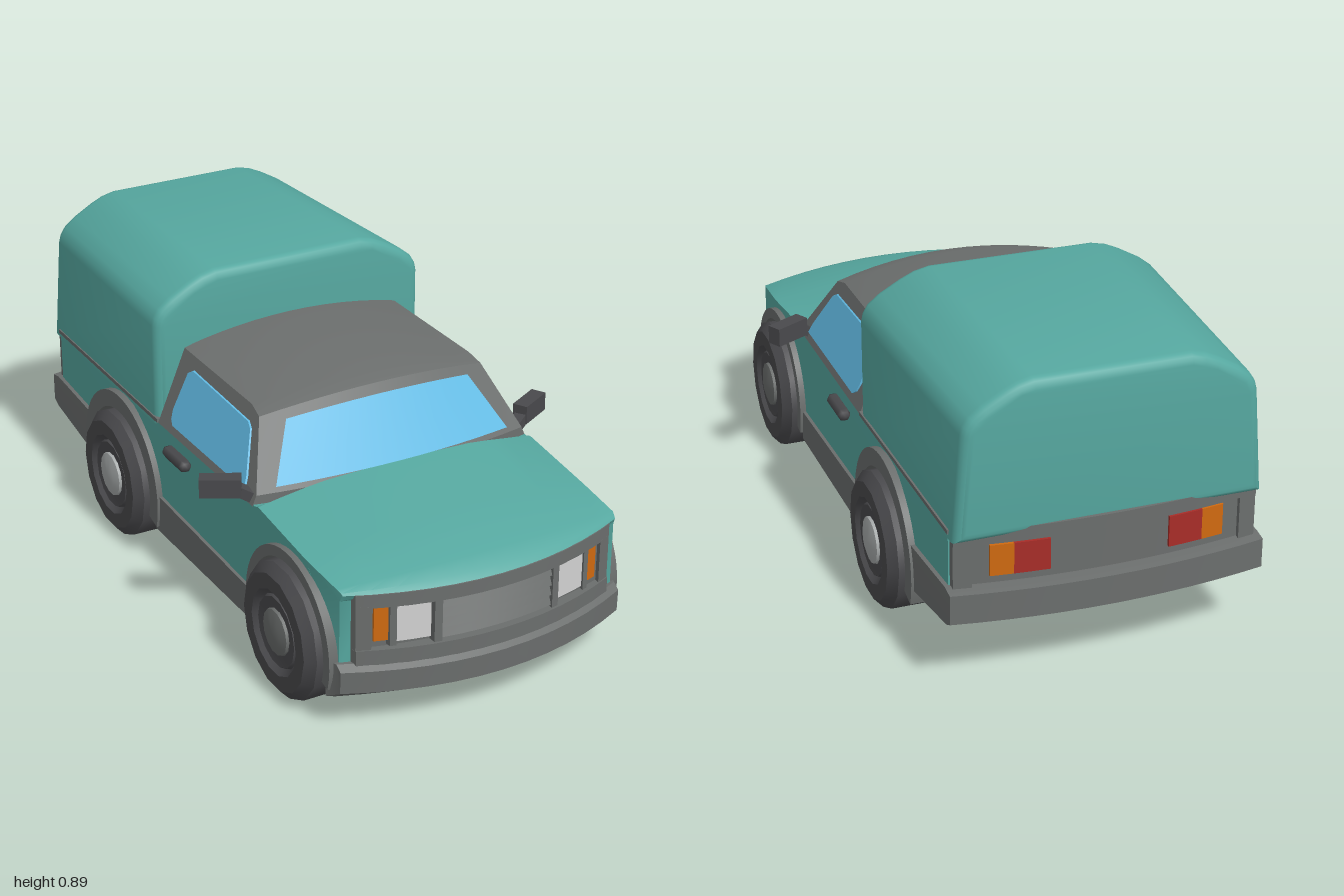
import * as THREE from 'three';
import { toCreasedNormals } from 'three/addons/utils/BufferGeometryUtils.js';

const mat = (name, color) => {
  const m = new THREE.MeshStandardMaterial({ color });
  m.name = name;
  return m;
};
const clamp01 = (v) => Math.min(1, Math.max(0, v));

// Bends straight parts to the rounded nose, crowned hood and soft tail
function bodyWarp(p) {
  const s2 = (p.x / 0.44) ** 2;
  const { y, z } = p;
  if (z > 0.42) p.y -= 0.04 * s2 * clamp01((y - 0.42) / 0.06);
  const nose = clamp01((z - 0.83) / 0.14);
  const tail = clamp01((-z - 0.8) / 0.15);
  p.z += -0.1 * s2 * nose + 0.04 * s2 * tail;
  p.x *= 1 - 0.03 * nose - 0.02 * tail;
}

// Leans the cabin sides in, crowns the roof and curves the windscreen
function cabinWarp(p) {
  const s2 = (p.x / 0.44) ** 2;
  const k = (p.y - 0.47) / 0.25;
  p.x *= 1 - 0.2 * k;
  p.y -= 0.04 * s2 * k;
  p.z -= 0.05 * s2 * (p.z / 0.45);
}

function warpGeometry(geo, warp) {
  const a = geo.attributes.position;
  const p = new THREE.Vector3();
  for (let i = 0; i < a.count; i++) {
    p.fromBufferAttribute(a, i);
    warp(p);
    a.setXYZ(i, p.x, p.y, p.z);
  }
  return geo;
}

// Extrudes a side outline (z, y) from x0 to x1
function acrossX(outline, x0, x1, warp, steps = 1) {
  const shape = Array.isArray(outline)
    ? new THREE.Shape(outline.map(([z, y]) => new THREE.Vector2(z, y))) : outline;
  const geo = new THREE.ExtrudeGeometry(shape, { depth: x1 - x0, steps, bevelEnabled: false, curveSegments: 14 });
  geo.rotateY(-Math.PI / 2).translate(x1, 0, 0);
  if (warp) warpGeometry(geo, warp);
  return toCreasedNormals(geo, 0.45);
}

export function createModel() {
  const root = new THREE.Group();
  root.name = 'pickupWithCanopy';
  const teal = mat('teal paint', 0x56a8a0);
  const grey = mat('grey trim', 0x6b6e6d);
  const dark = mat('dark rubber', 0x4a4a4d);
  const glass = mat('blue glass', 0x62bbe4);
  const hubGrey = mat('light hub', 0xa6aaaa);
  const white = mat('headlight white', 0xd2d2d2);
  const orange = mat('indicator orange', 0xd06a10);
  const red = mat('tail red', 0xa82d28);

  const add = (name, geo, material, parent = root) => {
    const m = new THREE.Mesh(geo, material);
    m.name = name;
    parent.add(m);
    return m;
  };
  // Block that follows the curved nose or tail
  const block = (name, x0, x1, y0, y1, z0, z1, material) => add(name,
    acrossX([[z0, y0], [z1, y0], [z1, y1], [z0, y1]], x0, x1, bodyWarp, Math.ceil((x1 - x0) / 0.07)), material);
  const blockPair = (name, x0, x1, ...rest) => {
    block(name + 'Left', x0, x1, ...rest);
    block(name + 'Right', -x1, -x0, ...rest);
  };

  const axles = [{ name: 'front', z: 0.62, arch: 0.235 }, { name: 'rear', z: -0.43, arch: 0.255 }];

  // Painted lower body with wheel openings
  const body = new THREE.Shape();
  body.moveTo(0.93, 0.2);
  [[0.93, 0.4], [0.968, 0.42], [0.95, 0.437], [0.9, 0.456], [0.7, 0.486], [0.43, 0.517], [0.41, 0.47],
    [-0.95, 0.47], [-0.95, 0.2], [-0.64, 0.2]].forEach(([z, y]) => body.lineTo(z, y));
  body.absarc(-0.43, 0.2, 0.21, Math.PI, 0, true);
  body.lineTo(0.41, 0.2);
  body.absarc(0.62, 0.2, 0.21, Math.PI, 0, true);
  add('body', acrossX(body, -0.44, 0.44, bodyWarp, 12), teal);

  // Underbody, sills and bumpers
  add('underbody', acrossX([[0.92, 0.125], [0.84, 0.113], [-0.3, 0.113], [-0.64, 0.168], [-0.93, 0.205],
    [-0.93, 0.45], [0.92, 0.4]], -0.33, 0.33, bodyWarp, 10), grey);
  add('sills', acrossX([[0.395, 0.11], [0.395, 0.205], [-0.205, 0.228], [-0.205, 0.11]], -0.45, 0.45), grey);
  add('frontBumper', acrossX([[0.83, 0.105], [0.95, 0.115], [0.99, 0.135], [0.992, 0.2], [0.97, 0.215], [0.83, 0.215]],
    -0.455, 0.455, bodyWarp, 12), grey);
  add('rearBumper', acrossX([[-0.64, 0.165], [-0.97, 0.205], [-1, 0.22], [-1, 0.305], [-0.96, 0.312], [-0.64, 0.3]],
    -0.452, 0.452, bodyWarp, 12), grey);
  block('beltTrim', -0.444, 0.444, 0.464, 0.476, -0.955, -0.19, grey);

  // Grille, lamps and their surround
  block('grilleTop', -0.41, 0.41, 0.38, 0.42, 0.91, 0.972, grey);
  block('grilleBottom', -0.41, 0.41, 0.205, 0.255, 0.91, 0.976, grey);
  block('grilleBack', -0.4, 0.4, 0.25, 0.385, 0.91, 0.94, grey);
  blockPair('grilleEnd', 0.37, 0.41, 0.25, 0.385, 0.91, 0.972, grey);
  blockPair('grillePost', 0.178, 0.2, 0.25, 0.385, 0.92, 0.968, grey);
  blockPair('lampPost', 0.302, 0.32, 0.26, 0.385, 0.92, 0.966, grey);
  blockPair('headlight', 0.203, 0.302, 0.268, 0.372, 0.945, 0.954, white);
  blockPair('frontIndicator', 0.32, 0.358, 0.275, 0.375, 0.945, 0.954, orange);
  for (let i = 0; i < 4; i++) {
    const y = 0.262 + i * 0.03;
    add('grilleSlat', acrossX([[0.93, y], [0.962, y], [0.948, y + 0.026], [0.93, y + 0.026]],
      -0.18, 0.18, bodyWarp, 6), grey);
  }

  // Tailgate and tail lamps
  block('tailgate', -0.425, 0.425, 0.3, 0.465, -0.958, -0.94, grey);
  block('tailgateTop', -0.435, 0.435, 0.435, 0.475, -0.975, -0.94, grey);
  blockPair('tailgateEnd', 0.385, 0.435, 0.3, 0.44, -0.972, -0.94, grey);
  blockPair('tailLamp', 0.17, 0.27, 0.335, 0.425, -0.966, -0.958, red);
  blockPair('rearIndicator', 0.27, 0.335, 0.335, 0.425, -0.966, -0.958, orange);

  // Cabin with curved windscreen and side windows
  add('cabin', acrossX([[0.45, 0.465], [0.45, 0.5], [0.32, 0.705], [0.26, 0.722], [-0.21, 0.725], [-0.21, 0.465]],
    -0.44, 0.44, cabinWarp, 12), grey);
  const screen = new THREE.PlaneGeometry(2, 1, 12, 1);
  warpGeometry(screen, (p) => {
    const t = 0.07 + (p.y + 0.5) * 0.8;
    p.set(p.x * (0.39 - 0.045 * t), 0.5 + 0.205 * t, 0.45 - 0.13 * t);
    cabinWarp(p);
    p.y += 0.003;
    p.z += 0.006;
  });
  screen.computeVertexNormals();
  add('windscreen', screen, glass);
  const windowOutline = [[0.385, 0.495], [0.375, 0.53], [0.305, 0.66], [0.28, 0.675], [-0.11, 0.686],
    [-0.135, 0.67], [-0.145, 0.54], [-0.135, 0.51], [-0.115, 0.495]];
  add('sideWindowLeft', acrossX(windowOutline, 0.44, 0.446, cabinWarp), glass);
  add('sideWindowRight', acrossX(windowOutline, -0.446, -0.44, cabinWarp), glass);

  // Rounded canopy over the load bed
  const half = [[0.44, 0.45], [0.44, 0.76], [0.435, 0.785], [0.42, 0.81], [0.385, 0.838], [0.325, 0.872],
    [0.285, 0.89], [0.24, 0.9]];
  const ring = [...half, ...half.slice().reverse().map(([x, y]) => [-x, y])];
  const canopy = new THREE.ExtrudeGeometry(new THREE.Shape(ring.map(([x, y]) => new THREE.Vector2(x, y))), {
    depth: 0.715, steps: 1, bevelEnabled: true, bevelSize: 0.03, bevelOffset: -0.03, bevelThickness: 0.03, bevelSegments: 4 });
  canopy.translate(0, 0, -0.935);
  warpGeometry(canopy, (p) => {
    const back = clamp01((-p.z - 0.19) / 0.775);
    p.x *= 1 - back * (0.02 + 0.08 * clamp01((p.y - 0.47) / 0.43));
    p.y -= 0.012 * back * clamp01((p.y - 0.6) / 0.3);
  });
  add('canopy', toCreasedNormals(canopy, 0.7), teal);

  // Wheels and arches
  const lathe = (pts) => toCreasedNormals(
    new THREE.LatheGeometry(pts.map(([r, h]) => new THREE.Vector2(r, h)), 14), 0.5);
  const tyreGeo = lathe([[0, -0.08], [0.165, -0.08], [0.197, -0.055], [0.197, 0.055], [0.17, 0.08], [0.125, 0.08],
    [0.108, 0.062], [0, 0.062]]);
  const rimGeo = lathe([[0.108, 0.06], [0.102, 0.072], [0.075, 0.068], [0, 0.068]]);
  const hubGeo = lathe([[0.07, 0.062], [0.066, 0.076], [0.04, 0.084], [0, 0.086]]);
  for (const axle of axles) {
    const arch = new THREE.Shape();
    arch.absarc(axle.z, 0.2, axle.arch, -0.3, Math.PI + 0.3, false);
    arch.absarc(axle.z, 0.2, 0.203, Math.PI + 0.3, -0.3, true);
    for (const side of [1, -1]) {
      const label = axle.name + (side > 0 ? 'Left' : 'Right');
      add(label + 'Arch', side > 0 ? acrossX(arch, 0.36, 0.458) : acrossX(arch, -0.458, -0.36), grey);
      const wheel = new THREE.Group();
      wheel.name = label + 'Wheel';
      wheel.position.set(side * 0.418, 0.2, axle.z);
      wheel.rotation.z = -side * Math.PI / 2;
      add('tyre', tyreGeo, dark, wheel);
      add('rim', rimGeo, dark, wheel);
      add('hub', hubGeo, axle.name === 'front' ? grey : hubGrey, wheel);
      root.add(wheel);
    }
  }

  // Mirrors and door handles
  for (const side of [1, -1]) {
    const label = side > 0 ? 'Left' : 'Right';
    const head = add('mirror' + label, new THREE.BoxGeometry(0.115, 0.055, 0.045), dark);
    head.position.set(side * 0.502, 0.512, 0.328);
    head.rotation.y = side * 0.5;
    const arm = add('mirrorArm' + label, new THREE.BoxGeometry(0.075, 0.03, 0.035), dark);
    arm.position.set(side * 0.445, 0.492, 0.36);
    arm.rotation.set(0, side * 0.4, side * 0.5);
    const handle = add('doorHandle' + label, new THREE.CapsuleGeometry(0.02, 0.1, 2, 6), dark);
    handle.rotation.x = Math.PI / 2;
    handle.position.set(side * 0.458, 0.42, -0.035);
  }
  return root;
}
